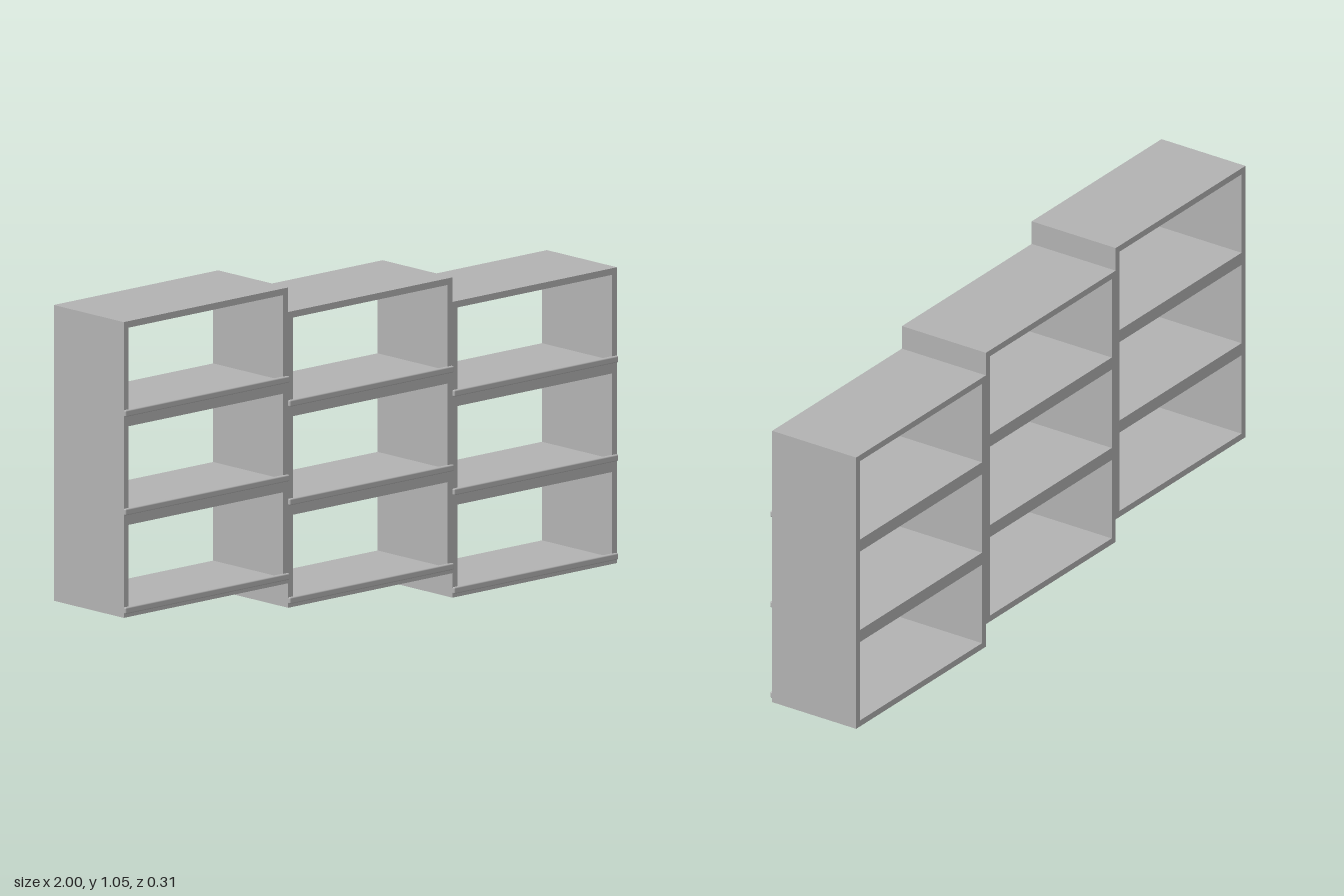
import * as THREE from 'three';
import { RoundedBoxGeometry } from 'three/addons/geometries/RoundedBoxGeometry.js';

const W = 2 / 3, H = 0.301, T = 0.02, STEP = 0.075; // cubby width, height, wall, column drop
const BACK = -0.157, FRONT = 0.149;

// Rectangle outline centred on x, from y0 to y1
function rect(Path, halfW, y0, y1) {
  const p = new Path();
  p.moveTo(-halfW, y0);
  p.lineTo(halfW, y0);
  p.lineTo(halfW, y1);
  p.lineTo(-halfW, y1);
  p.closePath();
  return p;
}

export function createModel() {
  const model = new THREE.Group();
  model.name = 'steppedShelf';
  const grey = new THREE.MeshStandardMaterial({ color: 0xb2b2b2 });
  grey.name = 'grey';

  // Open cubby frame
  const shape = rect(THREE.Shape, W / 2, 0, H);
  shape.holes.push(rect(THREE.Path, W / 2 - T, T, H - T));
  const frameGeo = new THREE.ExtrudeGeometry(shape, { depth: FRONT - BACK, bevelEnabled: false });
  frameGeo.translate(0, 0, BACK);

  // Rounded lip along the front of each shelf board
  const lipGeo = new RoundedBoxGeometry(W, 0.02, 0.014, 2, 0.004);
  lipGeo.translate(0, 0.022, 0.15);

  // Three columns, each one step lower than the last
  for (let col = 0; col < 3; col++) {
    const column = new THREE.Group();
    column.name = 'column' + (col + 1);
    column.position.set((col - 1) * W, (2 - col) * STEP, 0);
    for (let row = 0; row < 3; row++) {
      const frame = new THREE.Mesh(frameGeo, grey);
      frame.name = 'cubbyFrame';
      const lip = new THREE.Mesh(lipGeo, grey);
      lip.name = 'frontLip';
      frame.position.y = lip.position.y = row * H;
      column.add(frame, lip);
    }
    model.add(column);
  }
  return model;
}
